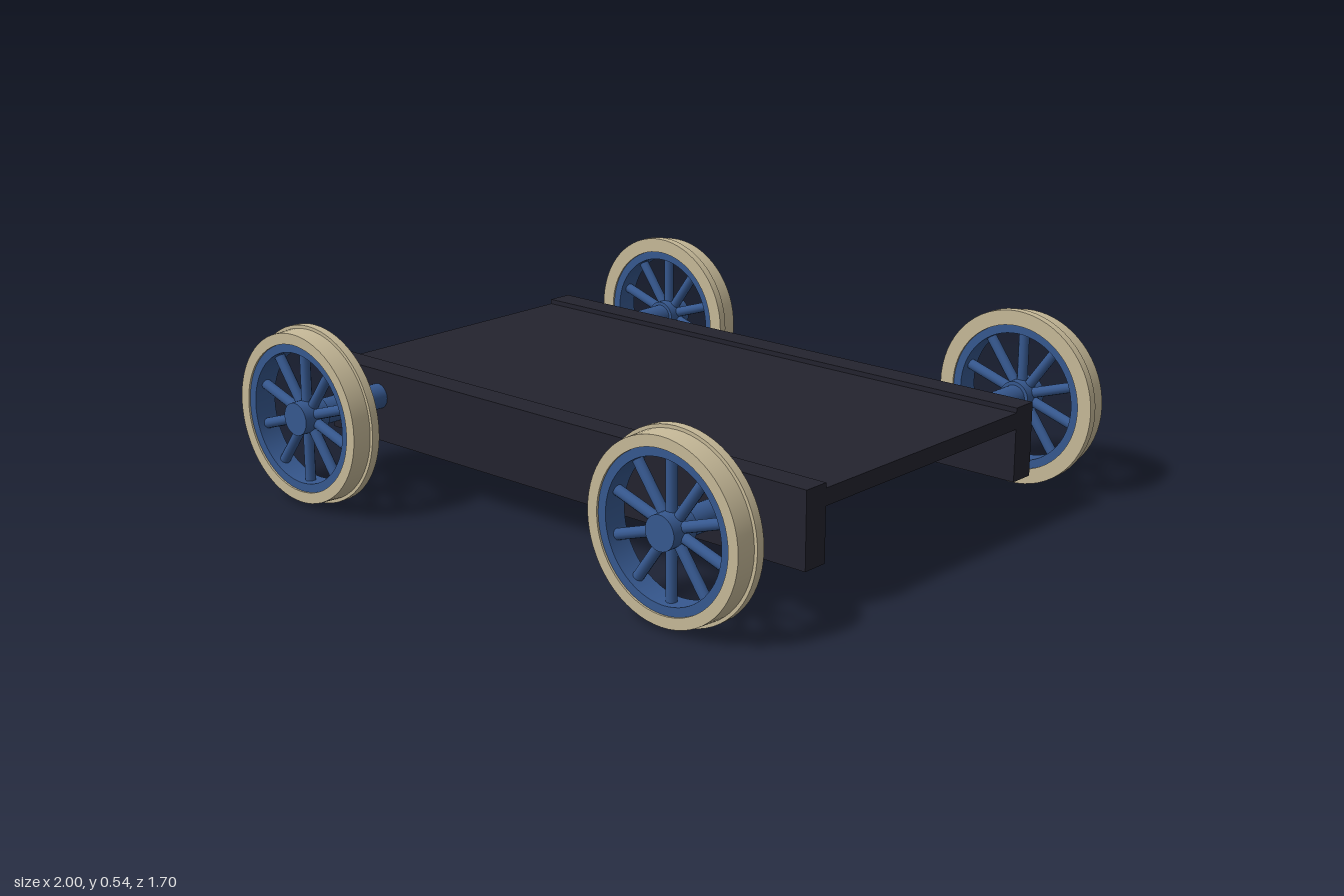
import * as THREE from 'three';
import { toCreasedNormals } from 'three/addons/utils/BufferGeometryUtils.js';

const WHEEL_X = 0.727, AXLE_Y = 0.273;

const frameMat = new THREE.MeshStandardMaterial({ color: 0x23232e });
frameMat.name = 'frameDark';
const blueMat = new THREE.MeshStandardMaterial({ color: 0x36588f });
blueMat.name = 'wheelBlue';
const tyreMat = new THREE.MeshStandardMaterial({ color: 0xc6b998 });
tyreMat.name = 'tyreTan';

function add(parent, name, geometry, material, x = 0, y = 0, z = 0) {
  const mesh = new THREE.Mesh(geometry, material);
  mesh.name = name;
  mesh.position.set(x, y, z);
  parent.add(mesh);
  return mesh;
}

// Ring turned around z from a closed [radius, z] profile
function ring(profile) {
  const points = profile.map(([r, z]) => new THREE.Vector2(r, z));
  const geometry = new THREE.LatheGeometry(points, 64).rotateX(Math.PI / 2);
  return toCreasedNormals(geometry, Math.PI / 6);
}

// Closed ring profiles, outer side first; the outside of the wheel faces +z
const tyreGeo = ring([[0.226, 0.76], [0.272, 0.76], [0.272, 0.786], [0.262, 0.786],
  [0.259, 0.845], [0.226, 0.845], [0.226, 0.76]]);
const rimGeo = ring([[0.2, 0.766], [0.228, 0.766], [0.228, 0.839], [0.2, 0.839], [0.2, 0.766]]);
const hubGeo = new THREE.CylinderGeometry(0.05, 0.05, 0.09, 32).rotateX(Math.PI / 2);
const spokeGeo = new THREE.CylinderGeometry(0.016, 0.016, 0.19, 12).translate(0, 0.115, 0);
const axleGeo = new THREE.CylinderGeometry(0.039, 0.039, 1.6, 32).rotateX(Math.PI / 2);

function makeWheel() {
  const wheel = new THREE.Group();
  add(wheel, 'flangedTyre', tyreGeo, tyreMat);
  add(wheel, 'rim', rimGeo, blueMat);
  add(wheel, 'hub', hubGeo, blueMat, 0, 0, 0.805);
  for (let i = 0; i < 10; i++) {
    add(wheel, 'spoke', spokeGeo, blueMat, 0, 0, 0.803).rotation.z = i * Math.PI / 5;
  }
  return wheel;
}

export function createModel() {
  const model = new THREE.Group();
  model.name = 'railCart';

  // Deck between two deep side rails
  add(model, 'deck', new THREE.BoxGeometry(1.89, 0.05, 0.89), frameMat, 0, 0.316, 0);
  for (const side of [1, -1]) {
    add(model, 'sideRail', new THREE.BoxGeometry(1.89, 0.226, 0.082), frameMat, 0, 0.243, side * 0.484);
  }

  // Two axles, each with a pair of spoked wheels
  for (const end of [1, -1]) {
    const wheelset = new THREE.Group();
    wheelset.name = end > 0 ? 'leftWheelset' : 'rightWheelset';
    wheelset.position.set(end * WHEEL_X, AXLE_Y, 0);
    add(wheelset, 'axle', axleGeo, blueMat);
    const front = makeWheel();
    front.name = 'frontWheel';
    const back = makeWheel();
    back.name = 'backWheel';
    back.rotation.y = Math.PI;
    wheelset.add(front, back);
    model.add(wheelset);
  }
  return model;
}
